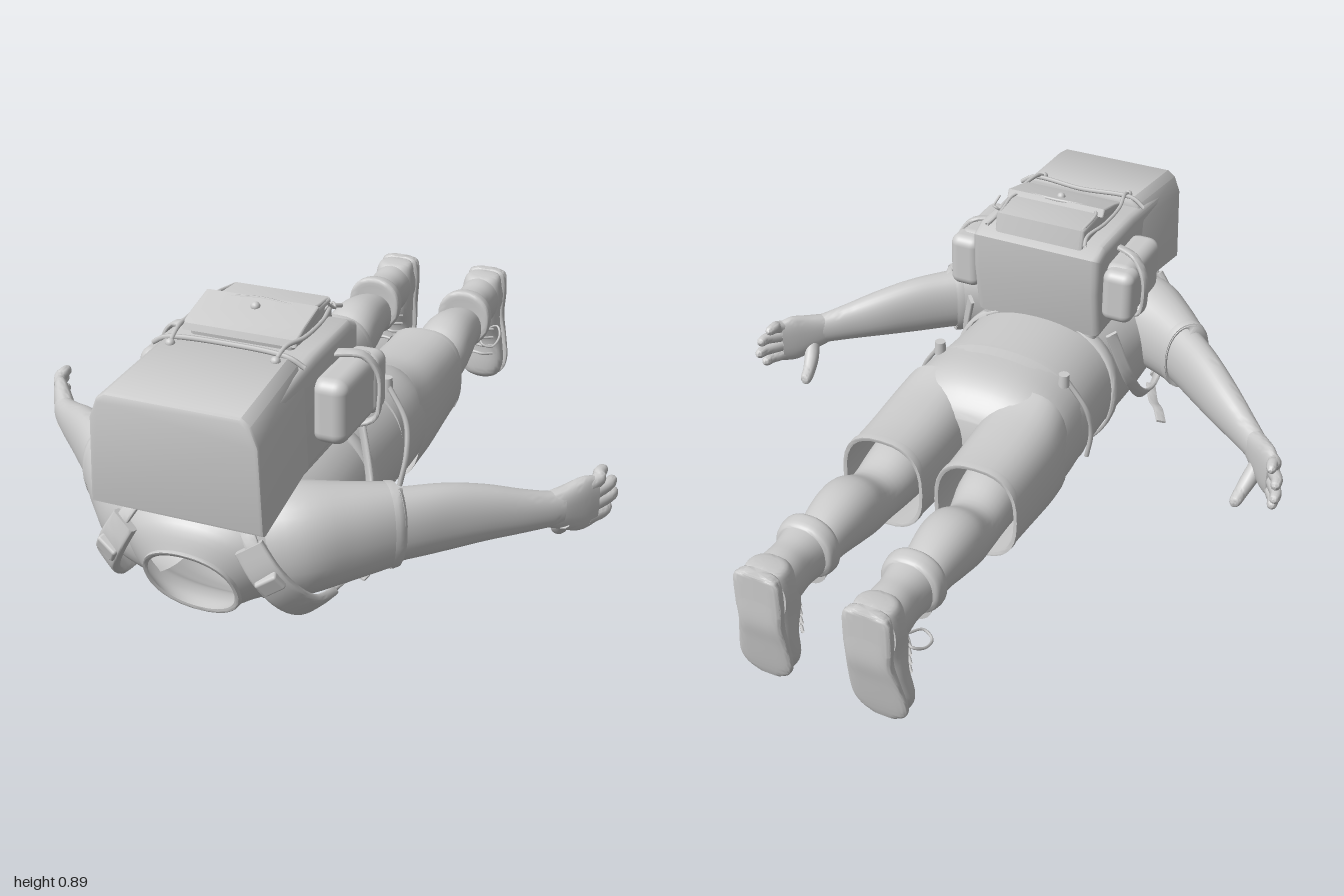
import * as THREE from 'three';
import { toCreasedNormals } from 'three/addons/utils/BufferGeometryUtils.js';
import { RoundedBoxGeometry } from 'three/addons/geometries/RoundedBoxGeometry.js';

const V = (x, y, z) => new THREE.Vector3(x, y, z);
const mat = new THREE.MeshStandardMaterial({ color: 0xcccccc, side: THREE.DoubleSide });

// Catmull-Rom interpolation of whole rows of numbers
function sampleRows(rows, steps) {
  const out = [], n = rows.length - 1, at = i => rows[Math.min(n, Math.max(0, i))];
  for (let i = 0; i < n; i++) for (let s = 0; s < steps; s++) {
    const t = s / steps, a = at(i - 1), b = at(i), c = at(i + 1), d = at(i + 2);
    out.push(b.map((_, k) => 0.5 * (2 * b[k] + (c[k] - a[k]) * t + (2 * a[k] - 5 * b[k] + 4 * c[k] - d[k]) * t * t
      + (3 * b[k] - a[k] - 3 * c[k] + d[k]) * t ** 3)));
  }
  out.push(rows[n].slice());
  return out;
}

// Superellipse sections [x, y, z, halfWidth, halfHeight, tilt] joined into a skin
function loft(rows, { axis, up = V(0, 1, 0), e = 2.2, n = 32, steps = 5, caps = true } = {}) {
  let r = sampleRows(rows, steps);
  const dirs = r.map((_, i) => {
    if (axis) return axis;
    const a = r[Math.max(0, i - 1)], b = r[Math.min(r.length - 1, i + 1)];
    return V(b[0] - a[0], b[1] - a[1], b[2] - a[2]).normalize();
  });
  if (caps) {
    const tip = q => q.map((k, i) => (i === 3 || i === 4 ? 0 : k));
    r = [tip(r[0]), ...r, tip(r[r.length - 1])];
    dirs.unshift(dirs[0]);
    dirs.push(dirs[dirs.length - 1]);
  }
  const pos = [], idx = [], pw = c => Math.sign(c) * Math.abs(c) ** (2 / e);
  r.forEach((q, i) => {
    const p = V(q[0], q[1], q[2]), t = dirs[i];
    const u = (typeof up === 'function' ? up(p) : up).clone().cross(t).normalize(), v = t.clone().cross(u);
    for (let j = 0; j < n; j++) {
      const th = j / n * Math.PI * 2, b = pw(Math.sin(th)) * Math.max(0, q[4]);
      const w = p.clone().addScaledVector(u, pw(Math.cos(th)) * Math.max(0, q[3])).addScaledVector(v, b)
        .addScaledVector(t, (q[5] || 0) * b);
      pos.push(w.x, w.y, w.z);
      if (i < r.length - 1) {
        const a = i * n + j, c = i * n + (j + 1) % n;
        idx.push(a, c, a + n, c, c + n, a + n);
      }
    }
  });
  const g = new THREE.BufferGeometry();
  g.setAttribute('position', new THREE.Float32BufferAttribute(pos, 3));
  g.setIndex(idx);
  return toCreasedNormals(g, 0.8);
}

// Side outline of [z, y] points, extruded across x
function sideExtrude(pts, half, bevel) {
  const g = new THREE.ExtrudeGeometry(new THREE.Shape(pts.map(p => new THREE.Vector2(...p))), {
    depth: 2 * (half - bevel), bevelSize: bevel, bevelThickness: bevel, bevelSegments: 3, bevelOffset: -bevel });
  return toCreasedNormals(g.translate(0, 0, -(half - bevel)).rotateY(-Math.PI / 2), 0.6);
}

const cord = (pts, r) => new THREE.TubeGeometry(new THREE.CatmullRomCurve3(pts.map(p => V(...p))), 32, r, 6);
const Z = V(0, 0, 1);

export function createModel() {
  const model = new THREE.Group();
  const add = (name, geo, parent = model) => {
    const m = new THREE.Mesh(geo, mat);
    m.name = name;
    parent.add(m);
    return m;
  };

  // Shirt, open at the tilted neck and at the hem
  add('shirt', loft([
    [0, .335, .13, .275, .215, 0], [0, .325, .35, .265, .218, 0], [0, .315, .6, .27, .215, 0],
    [0, .335, .74, .28, .195, .1], [0, .345, .83, .255, .165, .25], [0, .33, .9, .19, .135, .4],
    [0, .29, .935, .122, .102, .45]], { axis: Z, caps: false, n: 48 }));
  add('neckBand', loft([[0, .29, .925, .132, .112, .45], [0, .29, .94, .13, .11, .45], [0, .29, .937, .118, .098, .45]],
    { axis: Z, caps: false, n: 48 }));

  // Seat of the shorts and the waist band
  add('shortsSeat', loft([
    [0, .33, -.12, .20, .12], [0, .33, -.1, .25, .155], [0, .335, -.05, .274, .195],
    [0, .34, .02, .278, .212], [0, .338, .15, .272, .212]], { axis: Z, e: 2.4, n: 48 }));
  add('waistBand', loft([[0, .338, .1, .276, .217, -.05], [0, .338, .14, .279, .219, -.05]], { axis: Z, n: 48, caps: false }));
  // Hip belt of the pack
  add('hipBelt', loft([[0, .325, .345, .268, .222, .12], [0, .325, .35, .278, .23, .12], [0, .325, .385, .278, .23, .12],
    [0, .325, .39, .268, .222, .12]], { axis: Z, n: 48, caps: false, steps: 2 }));
  add('beltBuckle', new RoundedBoxGeometry(.1, .03, .06, 2, .01).translate(0, .085, .345));
  add('beltTail', loft([[-.04, .07, .35, .018, .004], [.08, .055, .33, .018, .004], [.17, .035, .33, .018, .004],
    [.24, .014, .34, .016, .004]], { e: 6, n: 16 }));

  for (const s of [1, -1]) {
    const side = s > 0 ? 'left' : 'right';
    const part = (name, rows, opt) => add(side + name, loft(rows.map(([x, ...q]) => [x * s, ...q]), opt));
    const line = (name, pts, r) => add(side + name, cord(pts.map(([x, y, z]) => [x * s, y, z]), r));

    // Shorts leg, open at the hem
    part('ShortsLeg', [[.148, .345, -.36, .127, .147], [.148, .34, -.25, .13, .153], [.148, .337, -.1, .134, .168],
      [.145, .337, 0, .128, .19]], { axis: Z, e: 2.6, caps: false });
    part('ShortsHem', [[.148, .345, -.362, .118, .138], [.148, .345, -.364, .129, .149], [.148, .345, -.34, .13, .15]],
      { axis: Z, e: 2.6, caps: false, steps: 2 });
    // Bare leg from thigh to ankle
    part('Leg', [[.16, .345, -.76, .062, .068], [.16, .37, -.68, .07, .075], [.16, .37, -.58, .084, .094],
      [.16, .355, -.5, .088, .098], [.158, .325, -.41, .078, .083], [.15, .335, -.3, .09, .095], [.15, .34, -.15, .1, .11]],
    { axis: Z });
    // Boot: cuff, shaft, foot and sole
    part('BootCuff', [[.16, .395, -.775, .074, .075], [.16, .392, -.765, .086, .087], [.16, .39, -.735, .09, .094],
      [.16, .39, -.722, .084, .088], [.16, .385, -.722, .06, .065]], { axis: Z, steps: 3 });
    part('BootShaft', [[.16, .39, -.96, .066, .08], [.16, .39, -.88, .066, .082], [.16, .39, -.82, .064, .078],
      [.16, .39, -.74, .078, .082]], { axis: Z });
    const down = { axis: V(0, -1, 0), up: Z };
    part('BootFoot', [[.16, .478, -.945, .03, .025], [.16, .465, -.935, .058, .05], [.16, .4, -.925, .068, .065],
      [.16, .32, -.92, .066, .07], [.165, .25, -.93, .07, .055], [.172, .17, -.92, .075, .045],
      [.175, .125, -.915, .06, .034], [.175, .105, -.922, .03, .018]], down);
    part('BootSole', [[.16, .482, -.98, .035, .014], [.16, .465, -.98, .062, .018], [.16, .4, -.982, .07, .018],
      [.16, .32, -.982, .066, .018], [.165, .25, -.973, .074, .014], [.172, .17, -.96, .08, .012],
      [.175, .125, -.95, .066, .012], [.175, .1, -.944, .034, .01]], { ...down, e: 4 });
    part('BootHeel', [[.16, .478, -.987, .04, .013], [.16, .46, -.987, .066, .013], [.16, .36, -.987, .068, .013]],
      { ...down, e: 4 });
    for (const y of [.3, .27, .24, .21])
      line('Lace', [[.11, y, -.875], [.135, y + .005, -.852], [.165, y + .01, -.85], [.195, y + .005, -.854], [.22, y, -.88]], .005);
    line('LaceBow', [[.19, .3, -.85], [.23, .31, -.89], [.25, .29, -.86], [.24, .27, -.8], [.21, .28, -.79], [.19, .3, -.84]], .004);

    // Sleeve and arm
    part('Sleeve', [[.12, .36, .8, .12, .145], [.22, .375, .76, .125, .148], [.32, .378, .69, .1, .132],
      [.42, .377, .605, .076, .114]], { caps: false });
    part('SleeveHem', [[.40, .377, .622, .082, .12], [.418, .377, .607, .079, .118], [.42, .377, .605, .064, .1]],
      { caps: false, steps: 2 });
    part('Arm', [[.34, .375, .67, .07, .105], [.44, .372, .585, .064, .1], [.52, .368, .51, .058, .094],
      [.6, .358, .435, .052, .08], [.68, .343, .365, .042, .063], [.74, .333, .31, .034, .052], [.77, .33, .28, .03, .05]]);
    // Hand with an upright palm, four fingers and an inner thumb
    part('Palm', [[.735, .333, .315, .03, .048], [.77, .328, .275, .03, .062], [.81, .322, .225, .026, .08],
      [.84, .322, .185, .02, .072]], { e: 2.5 });
    [[.388, .845, .12], [.35, .868, .1], [.31, .872, .09], [.272, .862, .11]].forEach(([y, x, z], i) => {
      const y0 = .322 + (y - .33) * .85;
      part('Finger' + (i + 1), [[.825, y0, .21, .018, .02], [.845, (y0 + y) / 2, .175, .018, .02], [x - .004, y, z + .04, .017, .018],
        [x, y, z + .012, .014, .015], [x, y, z, .005, .006]], { n: 14 });
    });
    part('Thumb', [[.775, .295, .275, .024, .03], [.76, .255, .24, .024, .026], [.748, .225, .2, .02, .022],
      [.742, .21, .165, .017, .018], [.742, .208, .155, .006, .007]], { n: 14 });

    // Shoulder strap: padded band over the chest, thin webbing back to the pack
    const out = p => p.clone().sub(V(.1 * s, .36, .62));
    const flat = { up: out, e: 6, n: 20 };
    part('StrapTop', [[.13, .54, .87, .018, .006], [.15, .49, .925, .018, .006], [.185, .43, .95, .018, .006],
      [.21, .38, .945, .018, .006]], flat);
    part('StrapPad', [[.17, .44, .95, .038, .012], [.215, .365, .945, .04, .013], [.255, .29, .905, .04, .013],
      [.275, .23, .83, .038, .012], [.285, .2, .73, .032, .012]], flat);
    part('StrapWebbing', [[.28, .21, .76, .018, .006], [.295, .2, .65, .018, .006], [.295, .24, .54, .018, .006],
      [.285, .36, .44, .018, .006], [.24, .53, .39, .018, .006]], flat);
    part('StrapTail', [[.29, .205, .65, .016, .004], [.33, .2, .57, .016, .004], [.365, .21, .52, .016, .004],
      [.395, .2, .47, .016, .004]], { e: 6, n: 16, up: V(.4 * s, 1, 0) });
    const buckle = add(side + 'StrapBuckle', new RoundedBoxGeometry(.065, .05, .03, 2, .008));
    buckle.position.set(.225 * s, .35, .95);
    buckle.rotation.set(.3, .35 * s, .5 * s);

    // Belt loop and stud at the waist
    add(side + 'WaistStud', new THREE.CylinderGeometry(.016, .018, .04, 16).translate(.205 * s, .52, .11));
    line('BeltCord', [[.21, .52, .115], [.272, .42, .13], [.283, .33, .15], [.268, .23, .16]], .008);

    // Side pocket with flap and strap
    add(side + 'Pocket', new RoundedBoxGeometry(.1, .18, .25, 4, .035).translate(.245 * s, .67, .52));
    add(side + 'PocketFlap', new RoundedBoxGeometry(.1, .17, .09, 4, .03).translate(.255 * s, .67, .41));
    part('PocketStrap', [[.2, .775, .5, .014, .006], [.27, .77, .47, .014, .006], [.31, .72, .455, .014, .006],
      [.316, .65, .455, .014, .006], [.3, .585, .46, .014, .006], [.22, .56, .47, .014, .006]],
    { up: p => p.clone().sub(V(.22 * s, .67, .47)), e: 6, n: 16 });

    // Lid cords and studs
    line('LidCord', [[.145, .835, .73], [.15, .855, .68], [.165, .85, .6], [.165, .85, .48], [.15, .85, .38], [.16, .84, .34]], .006);
    add(side + 'LidStud', new THREE.SphereGeometry(.013, 14, 10).translate(.145 * s, .835, .725));
  }

  // Backpack body
  add('packBody', sideExtrude([[.95, .51], [.97, .78], [.62, .82], [.39, .825], [.335, .8], [.34, .68], [.37, .52]], .21, .025));
  // Lid: tapered cap over the front end, sloping down towards the front
  const lid = new THREE.ExtrudeGeometry(new THREE.Shape([[-.235, .525], [.235, .525], [.225, .77], [.205, .82], [.18, .838],
    [-.18, .838], [-.205, .82], [-.225, .77]].map(p => new THREE.Vector2(...p))),
  { depth: .29, bevelSize: .01, bevelThickness: .01, bevelOffset: -.01, bevelSegments: 2 });
  lid.translate(0, 0, .7);
  const lp = lid.attributes.position;
  for (let i = 0; i < lp.count; i++) {
    const x = lp.getX(i), y = lp.getY(i), z = lp.getZ(i), k = (z - .69) / .31;
    lp.setX(i, x * (.93 + .07 * k));
    lp.setY(i, y + (y > .7 ? -.03 * k : .02 * (1 - k) - .02 * k));
  }
  add('packLid', toCreasedNormals(lid, 0.6));
  add('lidHem', cord([[-.21, .815, .695], [-.17, .838, .7], [0, .84, .685], [.17, .838, .7], [.21, .815, .695]], .007));
  // Top pocket with its flap and stud
  add('topPocket', sideExtrude([[.62, .81], [.625, .845], [.5, .878], [.37, .872], [.36, .81]], .145, .012));
  add('topPocketFlap', sideExtrude([[.635, .835], [.63, .853], [.58, .87], [.49, .893], [.48, .87], [.6, .84]], .16, .005));
  add('topPocketStud', new THREE.SphereGeometry(.013, 14, 10).translate(0, .883, .53));
  add('topPocketSeam', cord([[-.135, .868, .38], [-.13, .882, .49], [0, .89, .49], [.13, .882, .49], [.135, .868, .38]], .005));
  add('looseCord', cord([[.14, .85, .42], [.16, .87, .4], [.175, .865, .42], [.17, .885, .45]], .004));
  // Back panel between pack and shirt
  add('backPanel', new RoundedBoxGeometry(.38, .06, .54, 3, .02).translate(0, .515, .64));
  return model;
}
